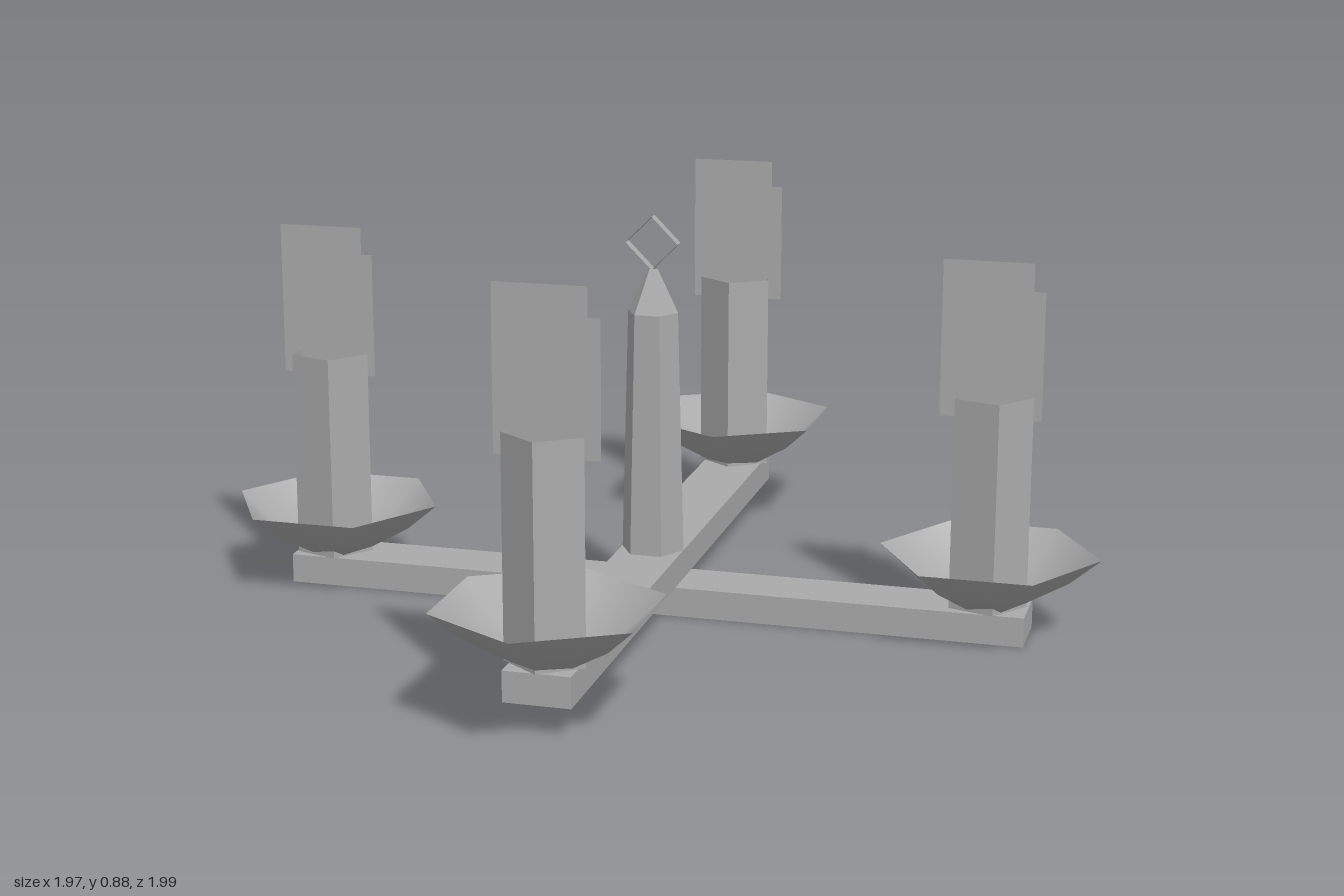
import * as THREE from 'three';

export function createModel() {
  const model = new THREE.Group();
  const grey = new THREE.MeshStandardMaterial({ color: 0xaaaaaa, side: THREE.DoubleSide });
  grey.name = 'grey';
  const flatGrey = grey;

  const add = (parent, name, geometry, x = 0, y = 0, z = 0) => {
    const mesh = new THREE.Mesh(geometry, flatGrey);
    mesh.name = name;
    mesh.position.set(x, y, z);
    parent.add(mesh);
    return mesh;
  };
  // Separate the faces so every edge is sharp
  const faceted = (geometry) => {
    const g = geometry.toNonIndexed();
    g.computeVertexNormals();
    return g;
  };
  const profile = (points) => points.map(([r, y]) => new THREE.Vector2(r, y));

  // Two crossed beams, one lying on the other
  const beam = 0.065;
  add(model, 'lowerBeam', new THREE.BoxGeometry(1.665, beam, 0.14), 0, beam / 2, 0);
  add(model, 'upperBeam', new THREE.BoxGeometry(0.14, beam, 1.665), 0, beam * 1.5, 0);

  // Six-sided tapering post with a square hanging ring
  const post = new THREE.LatheGeometry(
    profile([[0.07, 0.13], [0.056, 0.665], [0.01, 0.76]]), 6, Math.PI / 2);
  add(model, 'centrePost', faceted(post));
  const ring = new THREE.CylinderGeometry(0.058, 0.058, 0.025, 4, 1, true);
  ring.rotateX(Math.PI / 2);
  add(model, 'hangingRing', faceted(ring), 0, 0.816, 0);

  // Shared candle parts: smooth dish, open five-sided candle, flat stepped flame
  const dish = new THREE.LatheGeometry(
    profile([[0, 0], [0.065, 0], [0.17, 0.06], [0.2375, 0.117]]), 6);
  const candle = faceted(new THREE.CylinderGeometry(0.088, 0.088, 0.46, 5, 1, true));
  const flame = new THREE.ShapeGeometry(new THREE.Shape(profile([
    [-0.108, 0.41], [0.108, 0.41], [0.108, 0.687],
    [0.083, 0.687], [0.083, 0.747], [-0.108, 0.747],
  ])));

  // One candle at each beam end: [name, x, z, base height, turn]
  const spots = [
    ['leftCandle', 0.746, 0, 0.067, Math.PI / 2],
    ['rightCandle', -0.747, 0, 0.067, Math.PI / 2],
    ['frontCandle', 0, 0.758, 0.13, 0],
    ['backCandle', 0, -0.762, 0.13, 0],
  ];
  for (const [name, x, z, y, turn] of spots) {
    const group = new THREE.Group();
    group.name = name;
    group.position.set(x, y, z);
    const holder = new THREE.Group();
    holder.name = 'holder';
    holder.rotation.y = turn;
    add(holder, 'dripDish', dish);
    add(holder, 'candle', candle, 0, 0.231, -0.006);
    group.add(holder);
    // All flames face the front
    add(group, 'flame', flame, turn ? -0.009 : 0.002, 0, 0);
    model.add(group);
  }
  return model;
}
